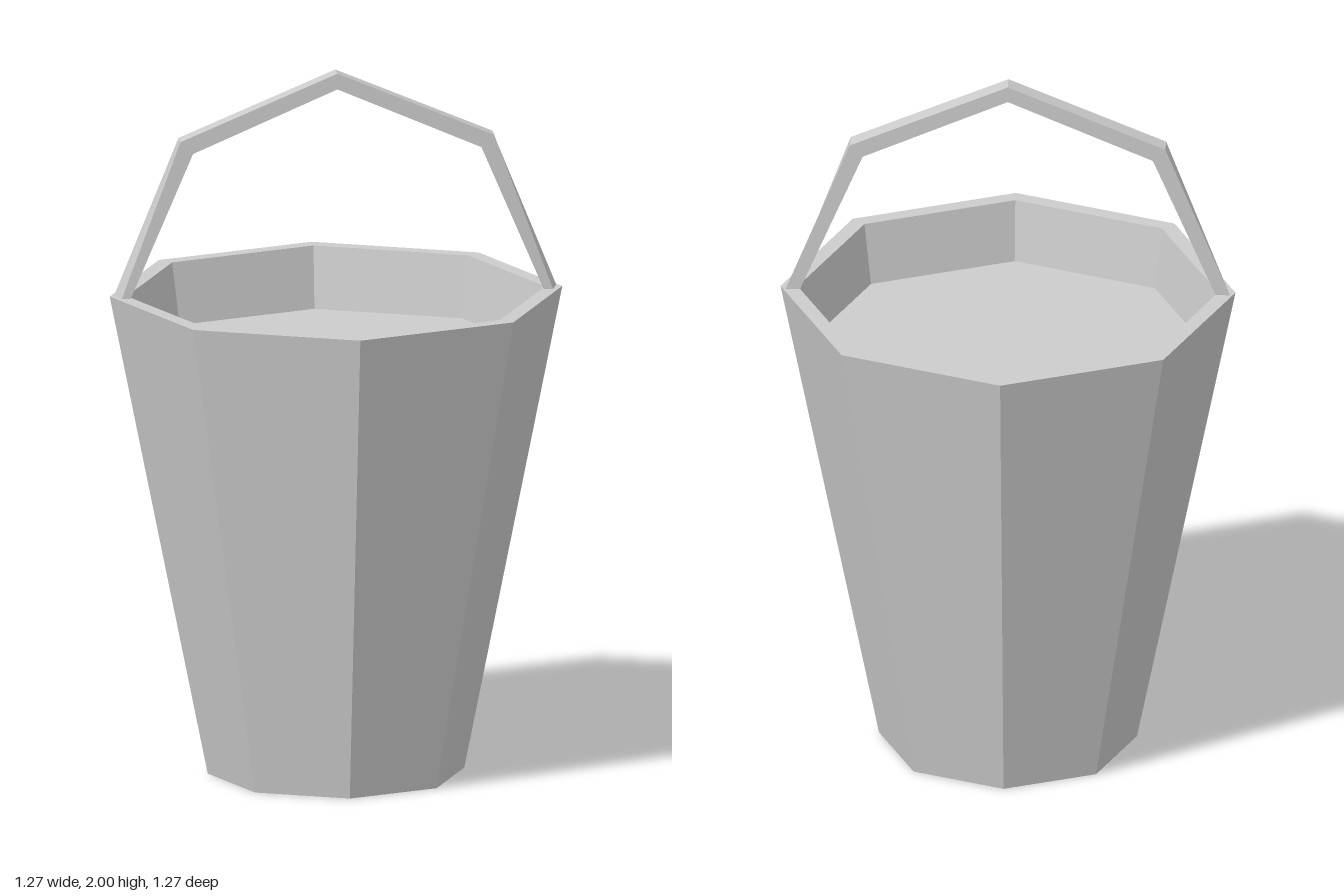
import * as THREE from 'three';

const material = new THREE.MeshStandardMaterial({ color: 0xcccccc, flatShading: true });

// Eight-sided tapered pail: base, outer wall, rim, inner wall and raised floor
function makePail() {
  const profile = [[0, 0], [0.36, 0], [0.635, 1.37], [0.587, 1.37], [0.56, 1.195], [0, 1.195]]
    .map(([r, y]) => new THREE.Vector2(r, y));
  const pail = new THREE.Mesh(new THREE.LatheGeometry(profile, 8), material);
  pail.name = 'pail';
  return pail;
}

// Square-section bar swept over the pail through five stations
function makeHandle() {
  const front = 0.037, back = -0.018;
  // outer x at front, outer x at back, outer y, inner x, inner y
  const stations = [
    [0.605, 0.62, 1.37, 0.58, 1.37],
    [0.44, 0.44, 1.815, 0.405, 1.78],
    [0, 0, 2, 0, 1.955],
    [-0.44, -0.44, 1.815, -0.405, 1.78],
    [-0.605, -0.62, 1.37, -0.58, 1.37],
  ];
  const rings = stations.map(([xf, xb, yo, xi, yi]) => [
    [xf, yo, front], [xb, yo, back], [xi, yi, back], [xi, yi, front],
  ]);
  const positions = [];
  const quad = (a, b, c, d) => positions.push(...a, ...b, ...c, ...a, ...c, ...d);
  for (let i = 0; i < rings.length - 1; i++) {
    for (let k = 0; k < 4; k++) {
      const n = (k + 1) % 4;
      quad(rings[i][k], rings[i][n], rings[i + 1][n], rings[i + 1][k]);
    }
  }
  // End caps
  const [s, e] = [rings[0], rings[rings.length - 1]];
  quad(s[0], s[3], s[2], s[1]);
  quad(e[0], e[1], e[2], e[3]);

  const geometry = new THREE.BufferGeometry();
  geometry.setAttribute('position', new THREE.Float32BufferAttribute(positions, 3));
  geometry.computeVertexNormals();
  const handle = new THREE.Mesh(geometry, material);
  handle.name = 'handle';
  return handle;
}

export function createModel() {
  const bucket = new THREE.Group();
  bucket.name = 'bucket';
  bucket.add(makePail(), makeHandle());
  return bucket;
}
